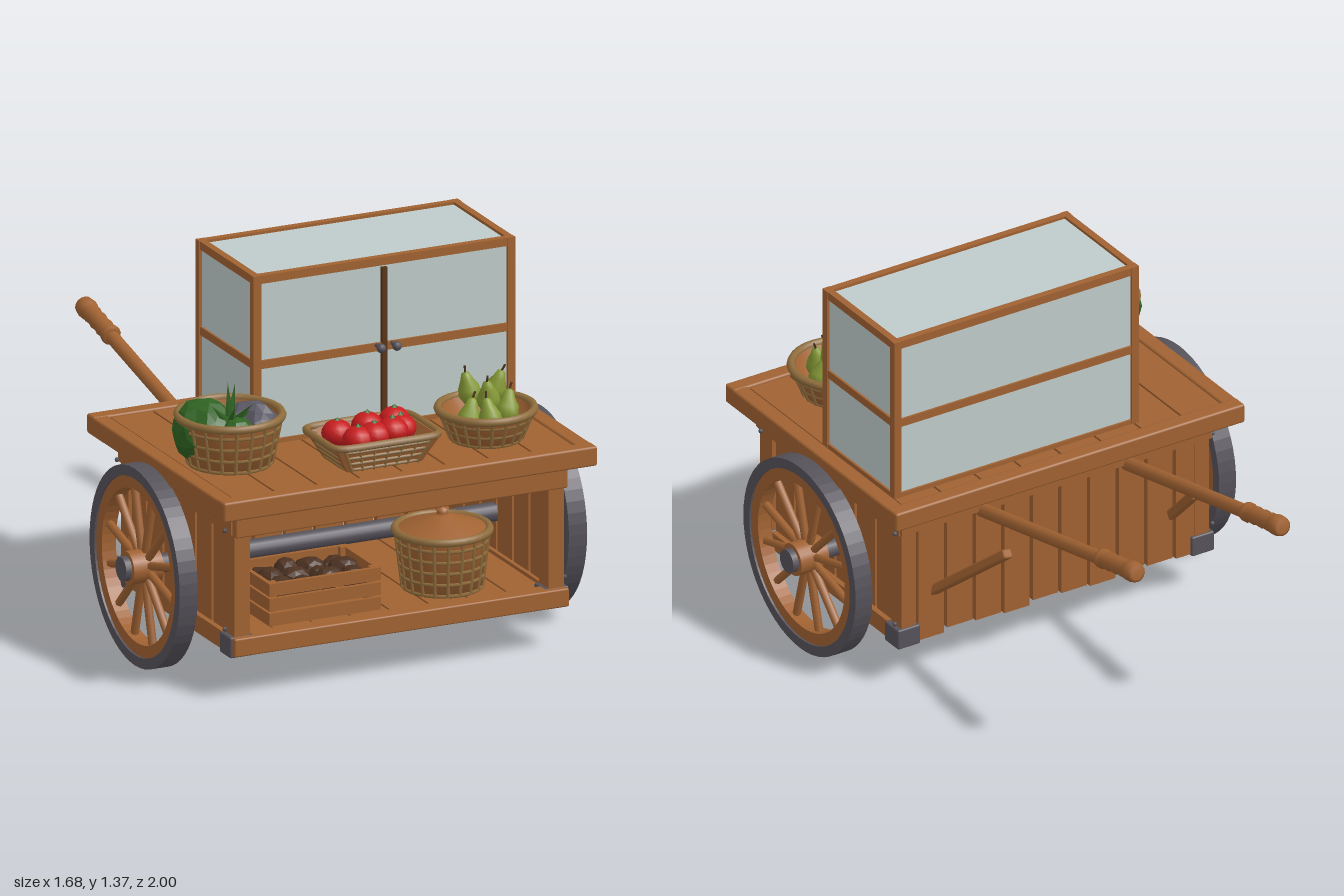
import * as THREE from 'three';
import { RoundedBoxGeometry } from 'three/addons/geometries/RoundedBoxGeometry.js';

const V = (x, y, z) => new THREE.Vector3(x, y, z);
const paint = (name, color) => Object.assign(new THREE.MeshStandardMaterial({ color }), { name });

export function createModel() {
  const wood = paint('wood', 0xa06232), darkWood = paint('darkWood', 0x573518);
  const glass = paint('glass', 0xbecbca), metal = paint('metal', 0x55525a);
  const wicker = paint('wicker', 0x8f6c3c), red = paint('tomatoRed', 0xc81c1e);
  const leaf = paint('leafGreen', 0x2f6322), pearGreen = paint('pearGreen', 0x869a35);
  const potato = paint('potatoBrown', 0x4c3222), purple = paint('purpleGrey', 0x5a5864);

  const root = new THREE.Group();
  root.name = 'marketCart';
  const group = (name, x = 0, y = 0, z = 0, parent = root) => {
    const g = new THREE.Group();
    g.name = name;
    g.position.set(x, y, z);
    parent.add(g);
    return g;
  };
  const add = (parent, name, geo, mat, x = 0, y = 0, z = 0) => {
    const m = new THREE.Mesh(geo, mat);
    m.name = name;
    m.position.set(x, y, z);
    parent.add(m);
    return m;
  };
  // Box given by its limits on each axis
  const box = (parent, name, mat, x0, x1, y0, y1, z0, z1, round = 0) => {
    const s = [x1 - x0, y1 - y0, z1 - z0];
    const geo = round ? new RoundedBoxGeometry(...s, 1, round) : new THREE.BoxGeometry(...s);
    return add(parent, name, geo, mat, (x0 + x1) / 2, (y0 + y1) / 2, (z0 + z1) / 2);
  };
  // Lays a mesh whose length runs along y between two points
  const span = (mesh, a, b) => {
    mesh.position.copy(a).add(b).multiplyScalar(0.5);
    mesh.quaternion.setFromUnitVectors(V(0, 1, 0), b.clone().sub(a).normalize());
    return mesh;
  };
  const rod = (parent, name, mat, a, b, r, sides = 6) =>
    span(add(parent, name, new THREE.CylinderGeometry(r, r, a.distanceTo(b), sides), mat), a, b);
  const lathe = (pts, n) => new THREE.LatheGeometry(pts.map(p => new THREE.Vector2(...p)), n);

  // Table top: frame, planks and dark gaps
  const table = group('tableTop');
  for (const s of [-1, 1]) box(table, 'sideFrame', wood, s * 0.69 - 0.03, s * 0.69 + 0.03, 0.685, 0.755, -0.1, 1, 0.008);
  box(table, 'frontFrame', wood, -0.72, 0.72, 0.685, 0.757, 0.94, 1, 0.008);
  box(table, 'backFrame', wood, -0.72, 0.72, 0.685, 0.757, -0.1, -0.04, 0.008);
  box(table, 'plankGaps', darkWood, -0.66, 0.66, 0.71, 0.74, -0.04, 0.94);
  for (let i = 0; i < 8; i++) {
    const x = -0.66 + i * 0.165;
    box(table, 'topPlank', wood, x + 0.004, x + 0.161, 0.698, 0.75, -0.036, 0.936);
  }

  // Body: posts, rails, slats and floor
  const body = group('body');
  for (const s of [-1, 1]) {
    const slab = (name, mat, a, b, ...r) => box(body, name, mat, Math.min(s * a, s * b), Math.max(s * a, s * b), ...r);
    slab('frontPost', wood, 0.575, 0.635, 0.2, 0.69, 0.83, 0.905);
    slab('backPost', wood, 0.575, 0.635, 0.18, 0.69, 0, 0.06);
    slab('sideRail', wood, 0.59, 0.645, 0.6, 0.687, 0, 0.9);
    slab('sideSill', wood, 0.585, 0.642, 0.16, 0.225, 0, 0.9);
    for (const z of [0, 0.83]) slab('cornerBracket', metal, 0.56, 0.653, 0.152, 0.228, z - 0.008, z + 0.08, 0.006);
    for (const z of [0.01, 0.87]) for (const y of [0.25, 0.61])
      add(body, 'bolt', new THREE.SphereGeometry(0.009, 6, 4), metal, s * 0.655, y, z);
    for (let i = 0; i < 6; i++) slab('sideSlat', wood, 0.6, 0.622, 0.21, 0.62, 0.06 + i * 0.13, 0.175 + i * 0.13);
  }
  box(body, 'frontApron', wood, -0.64, 0.64, 0.595, 0.687, 0.87, 0.93, 0.006);
  box(body, 'frontSill', wood, -0.645, 0.645, 0.16, 0.227, 0.86, 0.93, 0.006);
  box(body, 'backRail', wood, -0.64, 0.64, 0.605, 0.687, -0.012, 0.04);
  box(body, 'backSill', wood, -0.575, 0.575, 0.175, 0.22, 0.03, 0.06);
  for (let i = 0; i < 11; i++) {
    const x = -0.612 + i * 0.118;
    box(body, 'backSlat', wood, x + 0.007, Math.min(x + 0.111, 0.61), 0.158 + (i * 7 % 3) * 0.008, 0.62, 0.004, 0.03);
  }
  for (let i = 0; i < 8; i++) {
    const x = -0.6 + i * 0.15;
    box(body, 'floorPlank', wood, x + 0.004, x + 0.146, 0.175, 0.212, 0.03, 0.87);
  }
  box(body, 'floorGaps', darkWood, -0.59, 0.59, 0.185, 0.2, 0.03, 0.87);

  // Wheels and axle
  const annulus = (ro, ri, w) => {
    const s = new THREE.Shape().absarc(0, 0, ro, 0, Math.PI * 2);
    s.holes.push(new THREE.Path().absarc(0, 0, ri, 0, Math.PI * 2, true));
    return new THREE.ExtrudeGeometry(s, { depth: w, bevelEnabled: false, curveSegments: 28 })
      .translate(0, 0, -w / 2).rotateY(Math.PI / 2);
  };
  rod(root, 'axle', metal, V(-0.72, 0.36, 0.42), V(0.72, 0.36, 0.42), 0.034, 16);
  for (const s of [-1, 1]) {
    const wheel = group(s > 0 ? 'leftWheel' : 'rightWheel', s * 0.75, 0.36, 0.42);
    add(wheel, 'tyre', annulus(0.36, 0.322, 0.07), metal);
    add(wheel, 'rim', annulus(0.324, 0.278, 0.055), wood);
    rod(wheel, 'hub', wood, V(-0.05 * s, 0, 0), V(0.065 * s, 0, 0), 0.06, 20);
    rod(wheel, 'hubCap', metal, V(0.06 * s, 0, 0), V(0.088 * s, 0, 0), 0.044, 16);
    for (let i = 0; i < 12; i++) {
      const a = (i + 0.5) * Math.PI / 6, c = Math.cos(a), d = Math.sin(a);
      rod(wheel, 'spoke', wood, V(0, 0.05 * c, 0.05 * d), V(0, 0.29 * c, 0.29 * d), 0.015, 6);
    }
  }

  // Push handles with turned grips, and slanted legs
  const gripProfile = [[0, -0.12], [0.028, -0.12], [0.036, -0.11], [0.036, -0.095], [0.029, -0.085],
    [0.034, -0.05], [0.029, -0.035], [0.034, 0], [0.029, 0.015], [0.034, 0.045], [0.029, 0.06],
    [0.036, 0.07], [0.038, 0.09], [0.034, 0.115], [0.024, 0.12], [0, 0.12]];
  for (const s of [-1, 1]) {
    rod(root, 'handle', wood, V(s * 0.3, 0.588, 0.06), V(s * 0.3, 0.785, -0.82), 0.025, 12);
    span(add(root, 'grip', lathe(gripProfile, 14), wood), V(s * 0.3, 0.774, -0.76), V(s * 0.3, 0.822, -0.992));
    rod(root, 'handleBolt', metal, V(s * 0.3, 0.588, 0.055), V(s * 0.3, 0.583, 0.075), 0.028, 12);
    const a = V(s * 0.503, 0.305, 0.05), b = V(s * 0.387, 0.598, -0.3);
    span(add(root, 'slantedLeg', new RoundedBoxGeometry(0.04, a.distanceTo(b), 0.035, 1, 0.008), wood), a, b);
  }

  // Glass cabinet
  const cab = group('cabinet');
  const [x0, x1, y0, y1, z0, z1, t] = [-0.35, 0.66, 0.75, 1.372, 0.005, 0.468, 0.03];
  box(cab, 'glassPanes', glass, x0 + 0.01, x1 - 0.01, y0, y1 - 0.01, z0 + 0.01, z1 - 0.01);
  for (const x of [x0, x1 - t]) for (const z of [z0, z1 - t]) box(cab, 'cabinetPost', wood, x, x + t, y0, y1, z, z + t);
  for (const [y, h] of [[y0, 0.016], [1.03, t], [y1 - t, t]]) {
    for (const z of [z0, z1 - t]) box(cab, 'longRail', wood, x0 + t, x1 - t, y, y + h, z + 0.002, z + t - 0.002);
    for (const x of [x0, x1 - t]) box(cab, 'crossRail', wood, x + 0.002, x + t - 0.002, y, y + h, z0 + t, z1 - t);
  }
  box(cab, 'doorDivider', darkWood, 0.145, 0.165, 0.766, 1.335, 0.455, 0.471);
  for (const x of [0.125, 0.185]) {
    rod(cab, 'knobStem', metal, V(x, 1.053, 0.46), V(x, 1.053, 0.5), 0.008);
    add(cab, 'knob', new THREE.SphereGeometry(0.017, 10, 8), metal, x, 1.053, 0.505);
  }

  // Round woven baskets
  const basket = (name, x, y, z, rb, rt, h, rings) => {
    const g = group(name, x, y, z);
    add(g, 'basketWall', lathe([[0, 0], [rb, 0], [rt, h], [rt - 0.014, h], [rb - 0.012, 0.015], [0, 0.015]], 28), wood);
    add(g, 'basketRim', new THREE.TorusGeometry(rt, 0.015, 8, 32).rotateX(Math.PI / 2), wicker, 0, h, 0);
    for (let i = 0; i < rings; i++) {
      const k = i / rings, r = rb + (rt - rb) * k;
      add(g, 'basketBand', new THREE.TorusGeometry(r, 0.007, 5, 28).rotateX(Math.PI / 2), wicker, 0, h * k + 0.007, 0);
    }
    for (let i = 0; i < 20; i++) {
      const c = Math.cos(i * Math.PI / 10), s = Math.sin(i * Math.PI / 10);
      rod(g, 'basketStake', wicker, V(rb * c, 0.003, rb * s), V(rt * c, h, rt * s), 0.007, 5);
    }
    return g;
  };
  // Faceted lump shaped by a wavy rule
  const lump = (r, amount, detail = 2) => {
    const geo = new THREE.IcosahedronGeometry(r, detail), p = geo.attributes.position, v = V(0, 0, 0);
    for (let i = 0; i < p.count; i++) {
      v.fromBufferAttribute(p, i);
      const u = v.clone().multiplyScalar(1 / r);
      v.multiplyScalar(1 + amount * Math.sin(u.x * 7 + u.y * 4) * Math.cos(u.z * 6 - u.y * 5));
      p.setXYZ(i, v.x, v.y, v.z);
    }
    geo.computeVertexNormals();
    return geo;
  };

  // Vegetable basket with two cabbages and a leafy crown
  const veg = basket('vegetableBasket', -0.5, 0.755, 0.59, 0.148, 0.182, 0.175, 4);
  add(veg, 'greenCabbage', lump(0.115, 0.07), leaf, -0.085, 0.12, -0.03);
  add(veg, 'purpleCabbage', lump(0.095, 0.12), purple, 0.075, 0.125, 0.02);
  add(veg, 'leafyRoot', lump(0.06, 0.05, 1), leaf, -0.01, 0.13, 0.08);
  for (let i = 0; i < 11; i++) {
    const a = i * 2.4, lean = i < 3 ? 0.02 : 0.09, h = i < 3 ? 0.3 : 0.24 - (i % 3) * 0.015;
    const p = V(-0.02, 0.15, 0.04), q = V(-0.02 + lean * Math.cos(a), h, 0.04 + lean * Math.sin(a));
    span(add(veg, 'crownLeaf', new THREE.ConeGeometry(0.02, p.distanceTo(q), 4), leaf), p, q);
  }

  // Pear basket
  const pears = basket('pearBasket', 0.415, 0.755, 0.74, 0.125, 0.168, 0.11, 3);
  const pearShape = lathe([[0, -0.05], [0.028, -0.044], [0.042, -0.015], [0.038, 0.012], [0.022, 0.045], [0.015, 0.066], [0, 0.074]], 12);
  [[-0.035, 0.16, -0.06], [0.05, 0.165, -0.03], [0.085, 0.1, -0.015], [-0.075, 0.09, 0.02],
    [0.0, 0.15, 0.02], [0.06, 0.11, 0.045], [-0.02, 0.1, 0.075]].forEach(([x, y, z], i) => {
    const pear = group('pear', x, y, z, pears);
    pear.rotation.set(Math.sin(i * 2) * 0.25, 0, Math.cos(i * 3) * 0.25);
    add(pear, 'pearFlesh', pearShape, pearGreen);
    rod(pear, 'pearStalk', potato, V(0, 0.07, 0), V(0.005, 0.095, 0), 0.004, 5);
  });

  // Tapered rectangular basket of tomatoes
  const tray = group('tomatoBasket', -0.04, 0.755, 0.772);
  const q = Math.SQRT2;
  const trayWall = lathe([[0, 0], [0.72 * q, 0], [q, 0.1], [0.94 * q, 0.1], [0.67 * q, 0.014], [0, 0.014]], 4)
    .rotateY(Math.PI / 4).scale(0.2, 1, 0.138).toNonIndexed();
  trayWall.computeVertexNormals();
  add(tray, 'trayWall', trayWall, wood);
  const loop = (k, y, r) => {
    const pts = [];
    for (let i = 0; i < 40; i++) {
      const a = i * Math.PI / 20, c = Math.cos(a), s = Math.sin(a);
      pts.push(V(0.203 * k * Math.sign(c) * Math.abs(c) ** 0.25, y, 0.14 * k * Math.sign(s) * Math.abs(s) ** 0.25));
    }
    return new THREE.TubeGeometry(new THREE.CatmullRomCurve3(pts, true), 64, r, 6, true);
  };
  add(tray, 'trayRim', loop(1.01, 0.1, 0.014), wicker);
  for (let i = 0; i < 4; i++) add(tray, 'trayBand', loop(0.73 + i * 0.068, 0.008 + i * 0.024, 0.007), wicker);
  for (const s of [-1, 1]) for (let i = -3; i <= 3; i++)
    rod(tray, 'trayStake', wicker, V(i * 0.042, 0, s * 0.1), V(i * 0.058, 0.1, s * 0.138), 0.006, 5);
  [[-0.11, -0.05], [0.01, -0.06], [0.11, -0.05], [-0.075, 0.045], [-0.015, 0.05], [0.055, 0.05], [0.115, -0.01]].forEach(([x, z], i) => {
    const y = 0.095 + (i % 3) * 0.008;
    add(tray, 'tomato', new THREE.SphereGeometry(0.056, 14, 10).scale(1, 0.85, 1), red, x, y, z);
    add(tray, 'tomatoStem', new THREE.ConeGeometry(0.016, 0.016, 5), leaf, x, y + 0.05, z);
  });

  // Lidded basket on the lower shelf
  const lidded = basket('liddedBasket', 0.275, 0.215, 0.68, 0.14, 0.165, 0.21, 5);
  add(lidded, 'lid', lathe([[0, 0.2], [0.16, 0.2], [0.158, 0.215], [0.025, 0.262], [0.018, 0.27], [0.024, 0.285], [0, 0.292]], 24), wood);

  // Slatted crate of potatoes
  const crate = group('crate', -0.25, 0.215, 0.69);
  box(crate, 'crateFloor', wood, -0.2, 0.2, 0, 0.015, -0.13, 0.13);
  for (let i = 0; i < 3; i++) {
    const y = 0.005 + i * 0.054;
    for (const s of [-1, 1]) {
      box(crate, 'longSlat', wood, -0.215, 0.215, y, y + 0.046, s * 0.135 - 0.008, s * 0.135 + 0.008);
      box(crate, 'endSlat', wood, s * 0.207 - 0.008, s * 0.207 + 0.008, y, y + 0.046, -0.127, 0.127);
    }
  }
  for (const x of [-0.19, 0.19]) for (const z of [-0.117, 0.117])
    box(crate, 'cratePost', wood, x - 0.01, x + 0.01, 0, 0.16, z - 0.01, z + 0.01);
  for (let i = 0; i < 12; i++) {
    const m = add(crate, 'potato', lump(0.05, 0.08, 1), potato, -0.14 + (i % 4) * 0.093, 0.105 + (i * 5 % 3) * 0.01, -0.075 + Math.floor(i / 4) * 0.075);
    m.scale.set(1.1, 0.85, 0.9);
    m.rotation.y = i * 1.3;
  }
  return root;
}
